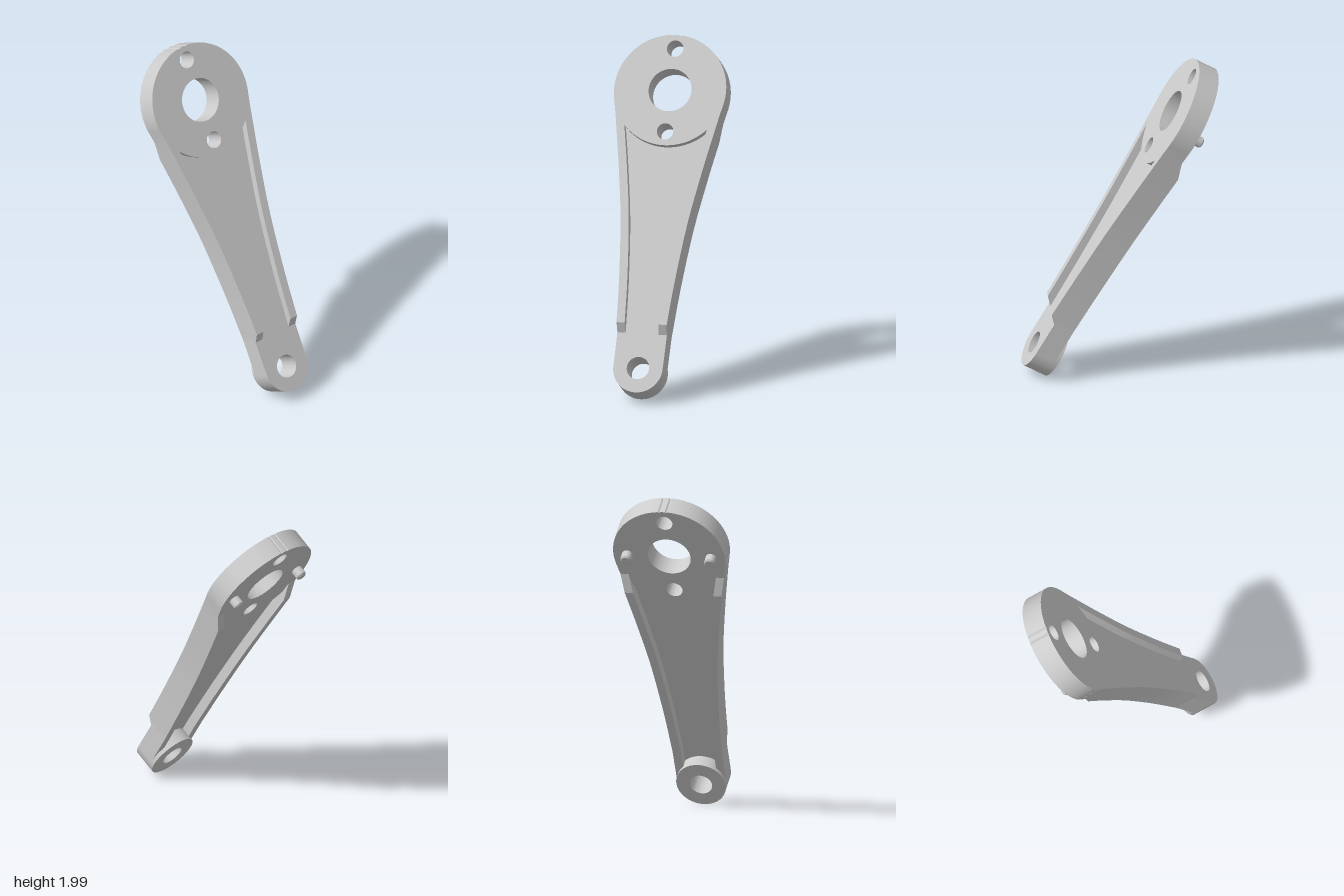
import * as THREE from 'three';
import { toCreasedNormals } from 'three/addons/utils/BufferGeometryUtils.js';

// Arm space: x across, y along the arm, z out of the front face
const HEAD = { y: 0.761, r: 0.34 };
const END = { y: -0.939, r: 0.15 };
const FRONT = 0.093, FLOOR = 0.047, HEAD_BACK = -0.039, RIB_BACK = -0.079, END_BACK = -0.103;

const material = new THREE.MeshStandardMaterial({ color: 0xcccccc });

function addMesh(group, name, geometry) {
  const mesh = new THREE.Mesh(geometry, material);
  mesh.name = name;
  group.add(mesh);
  return mesh;
}

function addHole(shape, y, r) {
  const hole = new THREE.Path();
  hole.absarc(0, y, r, 0, Math.PI * 2, true);
  shape.holes.push(hole);
}

function plate(shape, back, front) {
  const g = new THREE.ExtrudeGeometry(shape, { depth: front - back, bevelEnabled: false, curveSegments: 40 });
  g.translate(0, 0, back);
  return toCreasedNormals(g, 0.5);
}

// Half-width of the arm, from the head down to the small end
const sideCurve = new THREE.SplineCurve([
  [0.335, 0.70], [0.316, 0.612], [0.295, 0.5], [0.255, 0.28], [0.205, -0.04],
  [0.17, -0.4], [0.153, -0.678], [0.151, -0.728], [0.15, -0.939],
].map(([x, y]) => new THREE.Vector2(x, y)));
const side = sideCurve.getPoints(32);

// Linear ramp from a (at y0) to b (at y1), clamped outside
const ramp = (y, y0, y1, a, b) => a + (b - a) * THREE.MathUtils.clamp((y - y0) / (y1 - y0), 0, 1);

// Edge rib: rectangular sections lofted along the side curve
function ribGeometry(sign) {
  const rings = side.map(({ x, y }) => {
    const back = ramp(y, 0.612, 0.5, HEAD_BACK, RIB_BACK);
    const front = ramp(y, -0.678, -0.728, FRONT, FLOOR);
    const inner = x - 0.05;
    return [[x, y, back], [x, y, front], [inner, y, front], [inner, y, back]]
      .map(([px, py, pz]) => [px * sign, py, pz]);
  });
  const pos = [];
  const quad = (a, b, c, d) => {
    const corners = sign > 0 ? [a, c, b, a, d, c] : [a, b, c, a, c, d];
    corners.forEach((p) => pos.push(...p));
  };
  for (let i = 0; i < rings.length - 1; i++) {
    for (let j = 0; j < 4; j++) {
      const k = (j + 1) % 4;
      quad(rings[i][j], rings[i + 1][j], rings[i + 1][k], rings[i][k]);
    }
  }
  quad(...rings[0]);
  quad(...rings[rings.length - 1].slice().reverse());
  const g = new THREE.BufferGeometry();
  g.setAttribute('position', new THREE.Float32BufferAttribute(pos, 3));
  return toCreasedNormals(g, 0.3);
}

export function createModel() {
  const arm = new THREE.Group();
  arm.name = 'arm';

  // Large round head with two fine rim grooves, a bore and two bolt holes
  const head = new THREE.Shape();
  const notch = 0.03 / HEAD.r;
  head.absarc(0, HEAD.y, HEAD.r, Math.PI / 2 + notch, Math.PI * 2.5 - notch, false);
  const top = HEAD.y + HEAD.r;
  for (const [x, depth] of [[0.022, 0.007], [0.014, 0], [-0.014, 0], [-0.022, 0.007]]) {
    head.lineTo(x, top - depth);
  }
  head.closePath();
  addHole(head, HEAD.y, 0.13);
  addHole(head, HEAD.y + 0.255, 0.05);
  addHole(head, HEAD.y - 0.255, 0.05);
  addMesh(arm, 'head', plate(head, HEAD_BACK, FRONT));

  // Small end boss with its hole
  const end = new THREE.Shape();
  end.absarc(0, END.y, END.r, 0, Math.PI * 2, false);
  addHole(end, END.y, 0.068);
  addMesh(arm, 'endBoss', plate(end, END_BACK, FLOOR));

  // Thin web between head and end boss
  const edge = side.filter((p) => p.y < 0.55 && p.y > -0.86).map((p) => [p.x - 0.02, p.y]);
  const web = new THREE.Shape();
  edge.forEach(([x, y], i) => (i ? web.lineTo(x, y) : web.moveTo(x, y)));
  web.absarc(0, END.y, END.r - 0.005, 0.46, Math.PI - 0.46, false);
  edge.slice().reverse().forEach(([x, y]) => web.lineTo(-x, y));
  web.absarc(0, HEAD.y, HEAD.r - 0.005, Math.PI + 0.72, Math.PI * 2 - 0.72, false);
  web.closePath();
  addMesh(arm, 'web', plate(web, -0.02, FLOOR));

  // Mirrored ribs and locating pins
  for (const sign of [1, -1]) {
    const label = sign > 0 ? 'Right' : 'Left';
    addMesh(arm, 'rib' + label, ribGeometry(sign));
    const profile = [[0, -0.097], [0.024, -0.097], [0.033, -0.088], [0.033, 0]]
      .map(([r, h]) => new THREE.Vector2(r, h));
    const pin = addMesh(arm, 'pin' + label, toCreasedNormals(new THREE.LatheGeometry(profile, 24), 0.5));
    pin.rotation.x = Math.PI / 2;
    pin.position.set(sign * 0.255, HEAD.y, 0);
  }

  // Lean the arm 30 degrees toward -x, with its front face up and to +x
  const c = Math.cos(Math.PI / 6), s = 0.5;
  arm.quaternion.setFromRotationMatrix(new THREE.Matrix4().makeBasis(
    new THREE.Vector3(0, 0, -1), new THREE.Vector3(-s, c, 0), new THREE.Vector3(c, s, 0)));
  arm.position.y = 1;

  const model = new THREE.Group();
  model.name = 'leverArm';
  model.add(arm);
  return model;
}
